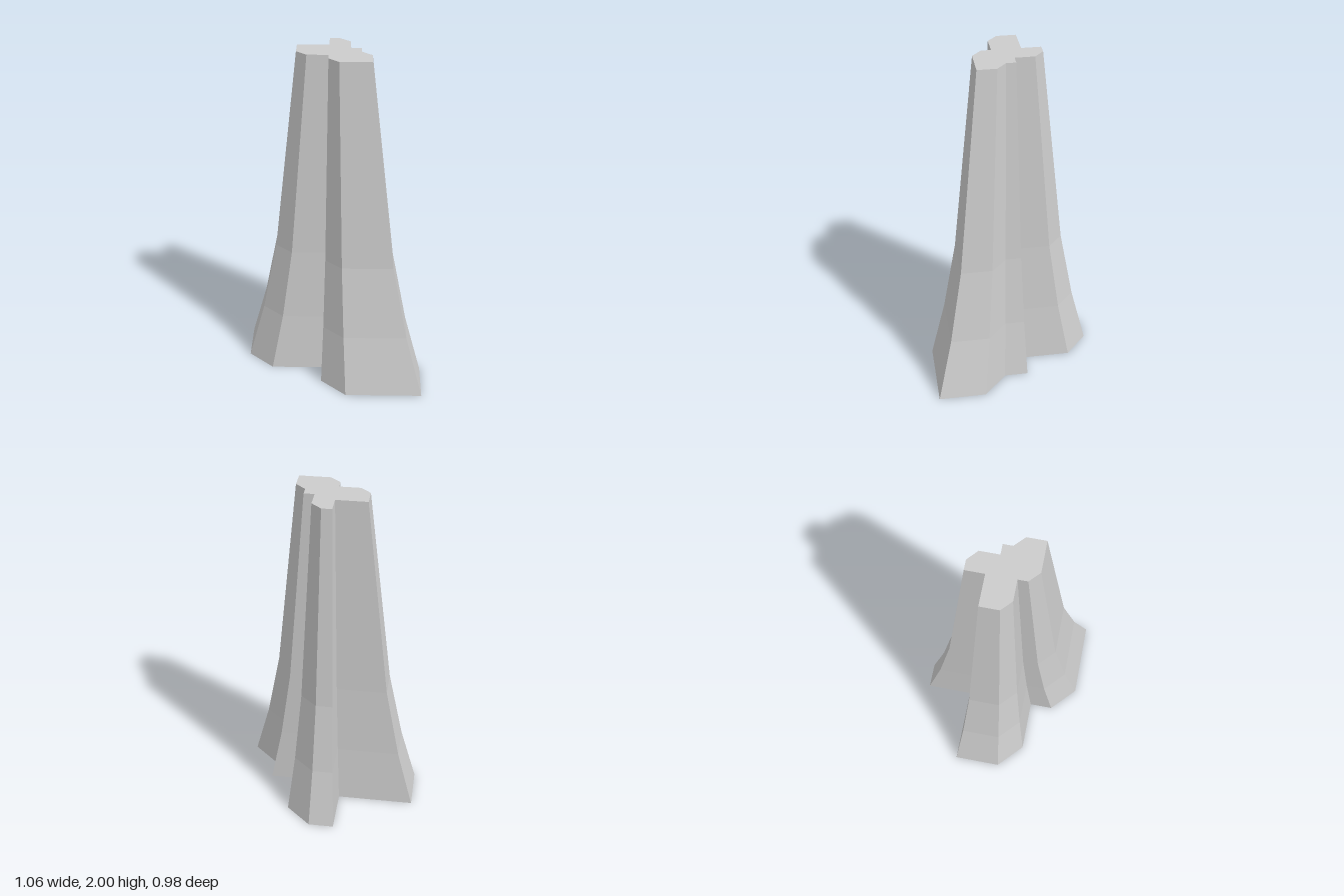
import * as THREE from 'three';

// Ground outline (x, z), clockwise seen from above: four chamfered arms
const OUTLINE = [
  [-0.075, -0.49], [0.075, -0.49], [0.226, -0.355], [0.226, -0.07],
  [0.378, -0.07], [0.378, 0.07], [0.53, 0.21], [0.53, 0.49],
  [0.075, 0.49], [-0.075, 0.35], [-0.075, 0.21], [-0.38, 0.21],
  [-0.53, 0.07], [-0.53, -0.21], [-0.075, -0.21],
];

// Flare of the trunk: [height, scale of the outline]
const LEVELS = [[0, 1], [0.35, 0.82], [0.78, 0.66], [2, 0.402]];

function wallGeometry() {
  const positions = [];
  const point = (i, [y, s]) => {
    const [x, z] = OUTLINE[i % OUTLINE.length];
    return [x * s, y, z * s];
  };
  for (let k = 0; k < LEVELS.length - 1; k++) {
    for (let i = 0; i < OUTLINE.length; i++) {
      const a = point(i, LEVELS[k]), b = point(i + 1, LEVELS[k]);
      const c = point(i + 1, LEVELS[k + 1]), d = point(i, LEVELS[k + 1]);
      positions.push(...b, ...a, ...d, ...b, ...d, ...c);
    }
  }
  const geometry = new THREE.BufferGeometry();
  geometry.setAttribute('position', new THREE.Float32BufferAttribute(positions, 3));
  geometry.computeVertexNormals();
  return geometry;
}

function capGeometry([y, s]) {
  const shape = new THREE.Shape(OUTLINE.map(([x, z]) => new THREE.Vector2(x * s, -z * s)));
  return new THREE.ShapeGeometry(shape).rotateX(-Math.PI / 2).translate(0, y, 0);
}

export function createModel() {
  const group = new THREE.Group();
  group.name = 'flaredTrunk';
  const material = new THREE.MeshStandardMaterial({
    color: 0xcccccc, flatShading: true, side: THREE.DoubleSide,
  });

  // Fluted walls, open at the ground
  const walls = new THREE.Mesh(wallGeometry(), material);
  walls.name = 'walls';

  // Flat top
  const cap = new THREE.Mesh(capGeometry(LEVELS[LEVELS.length - 1]), material);
  cap.name = 'topCap';

  group.add(walls, cap);
  return group;
}
